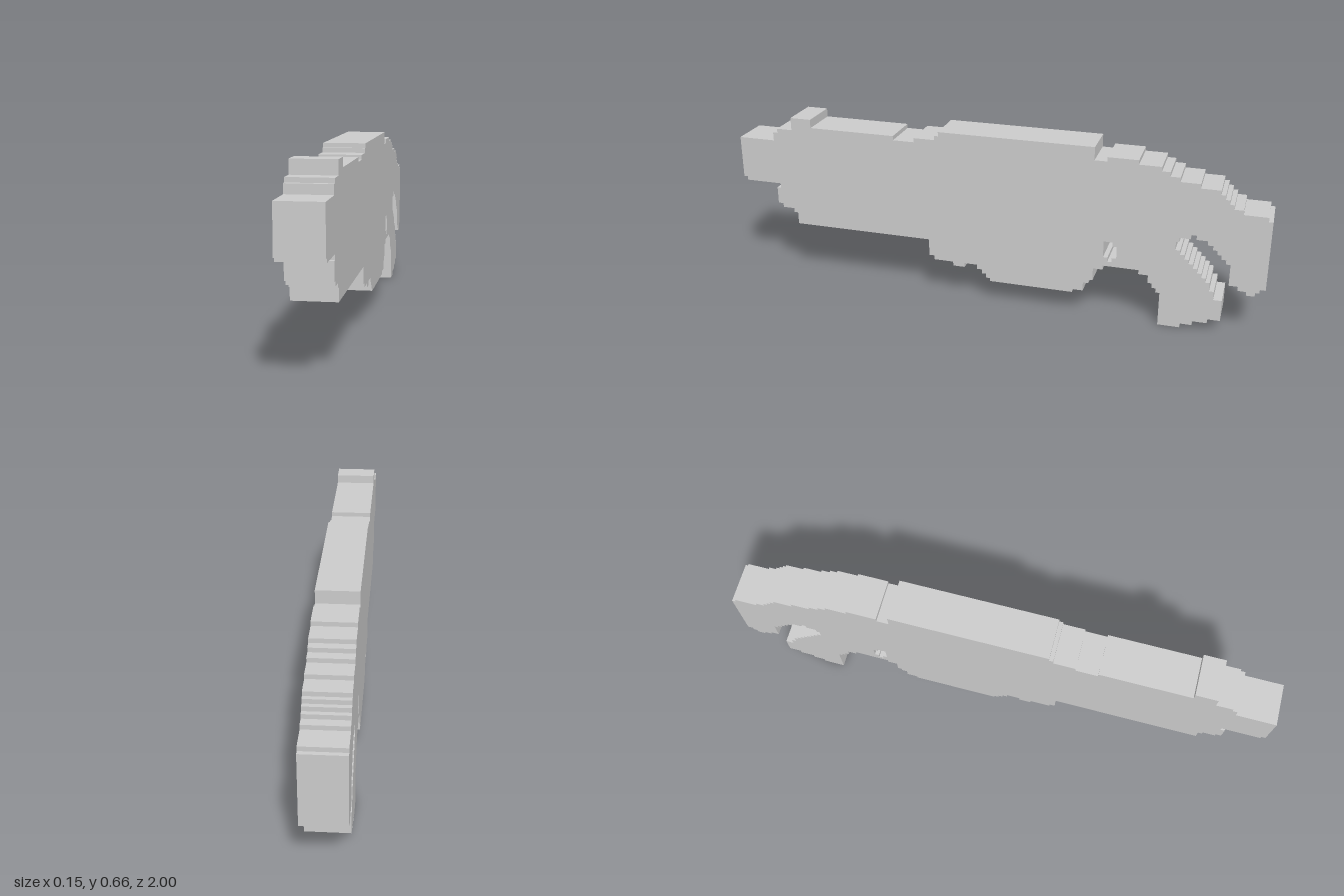
import * as THREE from 'three';

const WIDTH = 0.15;

// Each [z, y] step runs level to z, then straight up or down to y.
function addSteps(path, steps) {
  for (const [z, y] of steps) {
    path.lineTo(z, path.currentPoint.y);
    path.lineTo(z, y);
  }
}

// Regular staircase: n steps starting at (z, y), each moved by (dz, dy).
const stairs = (n, z, y, dz, dy) =>
  Array.from({ length: n }, (_, i) => [z + i * dz, y + i * dy]);

// Upper edge from the muzzle back to the butt
const topEdge = [
  [0.858, 0.592], [0.84, 0.608], [0.78, 0.656], [0.7, 0.624],
  [0.37, 0.608], [0.29, 0.624], [0.21, 0.64], [0.195, 0.656],
  [-0.38, 0.608], [-0.425, 0.624], [-0.535, 0.608], [-0.615, 0.592],
  [-0.645, 0.576], [-0.68, 0.56], [-0.75, 0.544],
  ...stairs(4, -0.82, 0.528, -0.016, -0.016),
  [-0.9, 0.464], [-0.985, 0.448], [-1, 0.19],
];

// Butt underside and the arch between stock and grip
const stockEdge = [
  [-0.98, 0.176], [-0.965, 0.162], [-0.935, 0.176], [-0.905, 0.192],
  [-0.873, 0.272], [-0.857, 0.288], [-0.84, 0.304], [-0.825, 0.32],
  [-0.809, 0.336], [-0.79, 0.352], [-0.75, 0.368], [-0.73, 0.352],
  [-0.692, 0.336], [-0.68, 0.304],
];

// Slanted rear grip
const gripEdge = [
  ...stairs(7, -0.697, 0.288, -0.016, -0.016),
  [-0.808, 0.16], [-0.825, 0.128], [-0.855, 0.048],
  [-0.81, 0.032], [-0.757, 0.016], [-0.714, 0],
  [-0.635, 0.128], [-0.62, 0.144], [-0.605, 0.162], [-0.59, 0.192],
  [-0.555, 0.208],
];

// Belly, fore-end and the notch under the muzzle
const lowerEdge = [
  [-0.425, 0.192], [-0.39, 0.144], [-0.375, 0.13], [-0.355, 0.097], [-0.315, 0.085],
  ...stairs(3, 0, 0.097, 0.016, 0.016),
  [0.05, 0.146], [0.1, 0.13], [0.145, 0.146], [0.22, 0.162],
  [0.24, 0.226], [0.78, 0.272], [0.795, 0.288], [0.84, 0.304],
  [0.86, 0.368], [0.845, 0.386], [0.985, 0.4], [1, 0.56],
];

export function createModel() {
  const profile = new THREE.Shape();
  profile.moveTo(1, 0.56);
  for (const edge of [topEdge, stockEdge, gripEdge, lowerEdge]) addSteps(profile, edge);

  // Small trigger opening
  const opening = new THREE.Path();
  opening.moveTo(-0.425, 0.304);
  addSteps(opening, [
    [-0.457, 0.288], [-0.473, 0.242], [-0.457, 0.226], [-0.441, 0.242],
    [-0.425, 0.304],
  ]);
  profile.holes.push(opening);

  const geometry = new THREE.ExtrudeGeometry(profile, { depth: WIDTH, bevelEnabled: false });
  geometry.translate(0, 0, -WIDTH / 2);
  geometry.rotateY(-Math.PI / 2); // profile's first axis becomes z

  const body = new THREE.Mesh(
    geometry,
    new THREE.MeshStandardMaterial({ color: 0xcccccc, flatShading: true }),
  );
  body.name = 'steppedBody';

  const model = new THREE.Group();
  model.name = 'blockRifle';
  model.add(body);
  return model;
}
